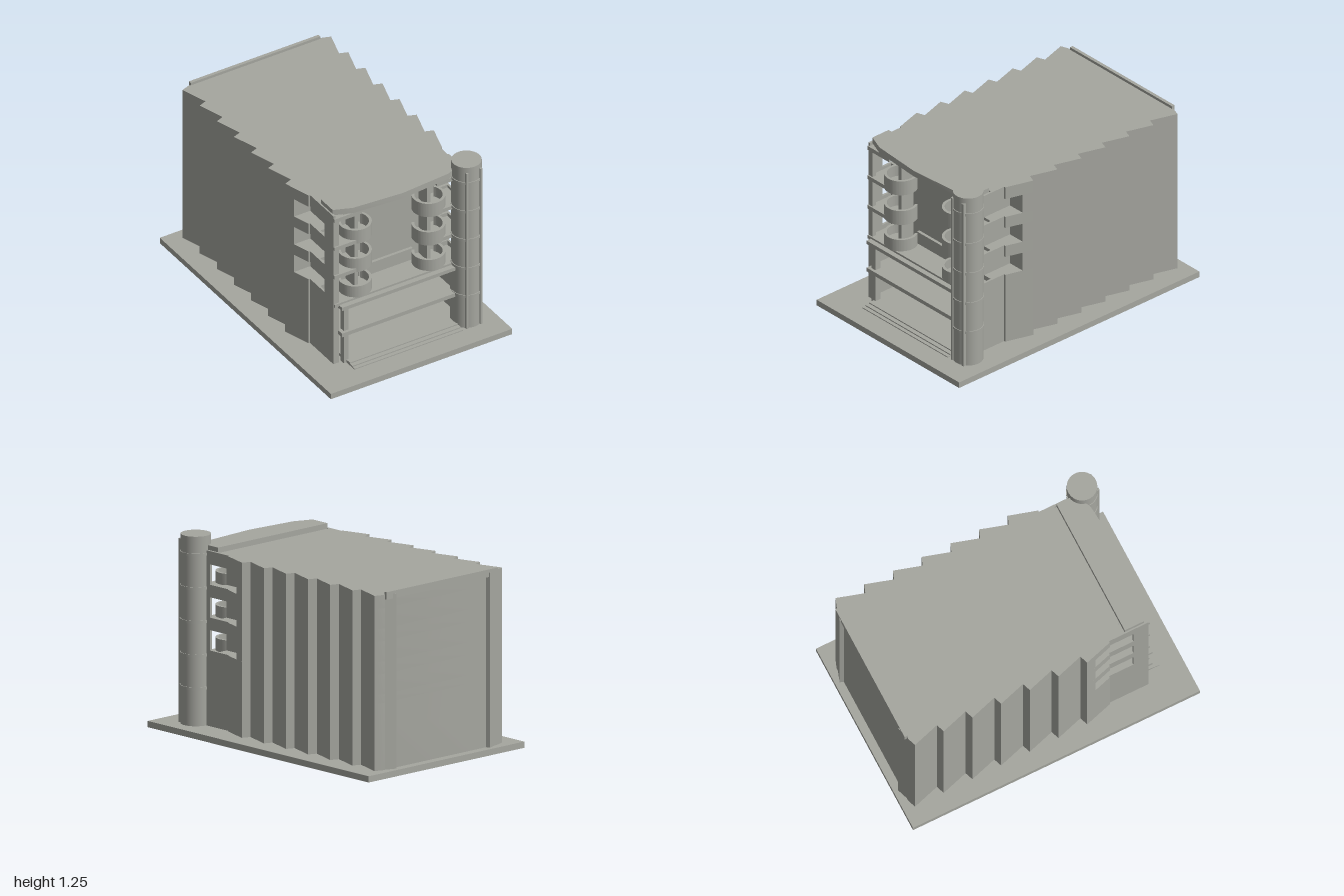
import * as THREE from 'three';
import { toCreasedNormals } from 'three/addons/utils/BufferGeometryUtils.js';

export function createModel() {
  const model = new THREE.Group();
  const stone = new THREE.MeshStandardMaterial({ color: 0xa5a69f });
  stone.name = 'warm grey';

  const add = (name, geo) => {
    const mesh = new THREE.Mesh(geo, stone);
    mesh.name = name;
    model.add(mesh);
    return mesh;
  };
  // Box given by its limits on each axis
  const box = (name, x0, x1, y0, y1, z0, z1) => {
    const g = new THREE.BoxGeometry(x1 - x0, y1 - y0, z1 - z0);
    g.translate((x0 + x1) / 2, (y0 + y1) / 2, (z0 + z1) / 2);
    return add(name, g);
  };
  // Upright prism from a plan shape (shape y is -z)
  const prism = (name, shape, y0, y1) => {
    const g = new THREE.ExtrudeGeometry(shape, { depth: y1 - y0, bevelEnabled: false, curveSegments: 32 });
    g.rotateX(-Math.PI / 2).translate(0, y0, 0);
    return add(name, toCreasedNormals(g, 0.5));
  };
  const plan = (pts) => new THREE.Shape(pts.map(([x, z]) => new THREE.Vector2(x, -z)));
  const cylinder = (name, r, y0, y1, x, z, seg = 40) => {
    const g = new THREE.CylinderGeometry(r, r, y1 - y0, seg);
    g.translate(x, (y0 + y1) / 2, z);
    return add(name, g);
  };

  // Ground slab
  box('groundSlab', -0.665, 0.665, 0, 0.04, -1, 1);

  // Sawtooth side profile, running from front to back
  const teeth = [];
  for (let i = 0; i < 7; i++) teeth.push([0.545, 0.275 - 0.2 * i], [0.49, 0.255 - 0.2 * i]);
  const hall = (front) => {
    const half = [...front, ...teeth];
    return plan([...half, ...half.map(([x, z]) => [-x, z]).reverse()]);
  };
  const wing = [[0.465, 0.735], [0.48, 0.735], [0.48, 0.46], [0.49, 0.46]];
  const lower = hall([[0.465, 0.45], ...wing]);
  const solid = hall([[0.405, 0.56], [0.465, 0.56], ...wing]);
  const notched = hall([[0.405, 0.56], [0.405, 0.345], [0.524, 0.345]]);

  // Main hall in layers; window layers are cut through at the front corners
  prism('hallLower', lower, 0.04, 0.47);
  let y = 0.47;
  for (const sill of [0.525, 0.735, 0.945]) {
    prism('hallWall', solid, y, sill);
    prism('hallWindowLayer', notched, sill, sill + 0.13);
    y = sill + 0.13;
    for (const s of [-1, 1]) {
      const x = s * 0.4725;
      box('windowPier', x - 0.0075, x + 0.0075, sill, y, 0.63, 0.735);
    }
  }
  prism('hallWall', solid, y, 1.16);

  // Back wall corner fins and roof edge
  for (const s of [-1, 1]) {
    prism('backFin', plan([[s * 0.39, -0.944], [s * 0.4, -0.97], [s * 0.475, -0.944]]), 0.04, 1.16);
  }
  box('backRoofEdge', -0.475, 0.475, 1.13, 1.178, -0.962, -0.94);

  // Bowed front canopy
  const bow = [[-0.47, 0.575], [-0.47, 0.71], [-0.35, 0.757], [0, 0.785], [0.35, 0.757], [0.465, 0.71], [0.465, 0.575]];
  prism('canopy', plan(bow), 1.15, 1.19);
  box('canopyUnderside', -0.4, 0.4, 1.135, 1.15, 0.56, 0.73);

  // Central front panel
  box('frontLintel', -0.2, 0.2, 1.0, 1.095, 0.56, 0.575);
  box('frontParapet', -0.2, 0.2, 0.49, 0.577, 0.56, 0.58);

  // Main floors of the front
  box('upperTerrace', -0.475, 0.475, 0.47, 0.493, 0.45, 0.745);
  box('terraceBeam', -0.445, 0.4, 0.455, 0.48, 0.45, 0.78);
  box('firstFloor', -0.445, 0.4, 0.257, 0.284, 0.45, 0.78);

  for (const s of [-1, 1]) {
    const side = (name, a, b, ...rest) => box(name, Math.min(s * a, s * b), Math.max(s * a, s * b), ...rest);
    // Columns
    side('lowerColumn', 0.385, 0.42, 0.04, 0.455, 0.72, 0.76);
    side('outerColumn', 0.44, 0.467, 0.04, 1.12, 0.705, 0.735);
    side('balconyColumn', 0.253, 0.28, 0.49, 1.125, 0.56, 0.66);
    // Balcony floors, the topmost being a plain ledge
    side('upperLedge', 0.275, 0.478, 1.112, 1.14, 0.56, 0.745);
    for (const floor of [0.685, 0.9]) side('balconyFloor', 0.27, 0.478, floor, floor + 0.026, 0.56, 0.745);
    // Round balconies, open towards the wall
    for (const floor of [0.49, 0.685, 0.9]) {
      const top = floor === 0.49 ? 0.575 : floor + 0.1;
      cylinder('balconyDisc', 0.104, floor - 0.002, floor + 0.022, s * 0.27, 0.65);
      const ring = new THREE.Shape();
      const mid = -Math.PI / 2, spread = 2.2;
      ring.absarc(s * 0.27, -0.65, 0.106, mid - spread, mid + spread, false);
      ring.absarc(s * 0.27, -0.65, 0.088, mid + spread, mid - spread, true);
      ring.closePath();
      prism('balconyRail', ring, floor, top);
    }
  }

  // Doors and entrance steps
  for (const x of [-0.27, -0.11, 0.105, 0.265]) box('door', x - 0.055, x + 0.055, 0.065, 0.215, 0.448, 0.458);
  box('entranceFloor', -0.4, 0.4, 0.04, 0.06, 0.45, 0.8);
  box('entranceStep', -0.4, 0.395, 0.04, 0.053, 0.8, 0.83);
  box('entranceStep', -0.4, 0.395, 0.04, 0.046, 0.83, 0.855);

  // Round corner tower with bands and ribs
  cylinder('tower', 0.095, 0.04, 1.252, 0.48, 0.76, 48);
  for (const h of [0.28, 0.49, 0.705, 0.92, 1.135]) cylinder('towerBand', 0.1, h - 0.009, h + 0.009, 0.48, 0.76, 48);
  for (const x of [0.43, 0.532]) box('towerRib', x - 0.008, x + 0.008, 0.04, 1.215, 0.83, 0.853);

  return model;
}
